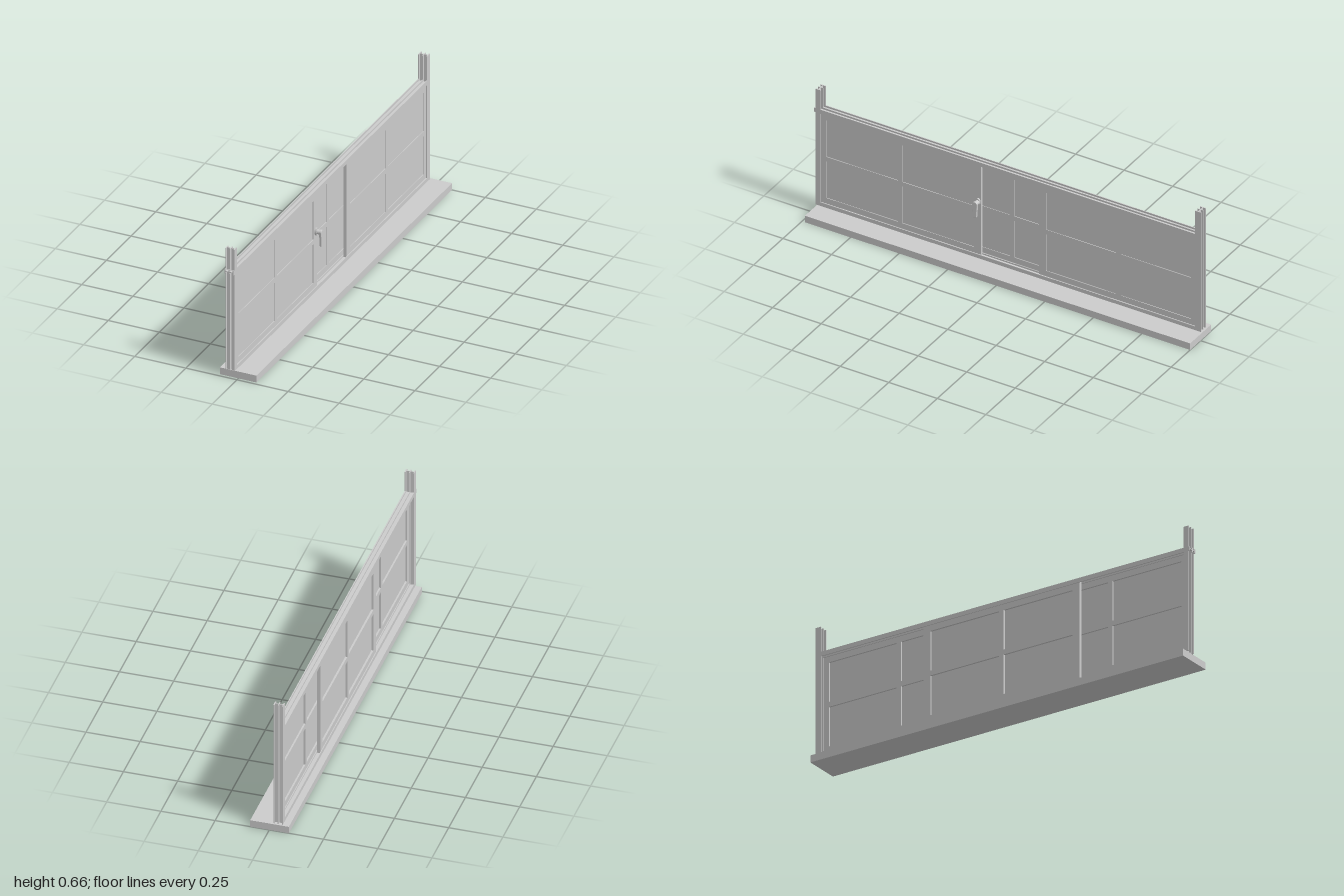
import * as THREE from 'three';

const mat = new THREE.MeshStandardMaterial({ color: 0xcccccc });
const FINS = [[-0.06, -0.056], [-0.04, -0.036], [-0.021, -0.016]];

function mesh(name, geometry) {
  const m = new THREE.Mesh(geometry, mat);
  m.name = name;
  return m;
}

// Box given by its lower and upper limits on each axis
function box(name, x0, x1, y0, y1, z0, z1) {
  const m = mesh(name, new THREE.BoxGeometry(x1 - x0, y1 - y0, z1 - z0));
  m.position.set((x0 + x1) / 2, (y0 + y1) / 2, (z0 + z1) / 2);
  return m;
}

// Upright track: three fins joined by a thin web
function post(name, top, z0, z1) {
  const g = new THREE.Group();
  g.name = name;
  const zm = (z0 + z1) / 2;
  for (const [a, b] of FINS) g.add(box('postFin', a, b, 0.034, top, z0, z1));
  g.add(box('postWeb', -0.06, -0.016, 0.034, top, zm - 0.002, zm + 0.002));
  return g;
}

// Horizontal track with the same section
function rail(name, y0, y1, z0, z1) {
  const g = new THREE.Group();
  g.name = name;
  const ym = (y0 + y1) / 2;
  for (const [a, b] of FINS) g.add(box('railFin', a, b, y0, y1, z0, z1));
  g.add(box('railWeb', -0.06, -0.016, ym - 0.002, ym + 0.002, z0, z1));
  return g;
}

function rectangle(target, x0, x1, y0, y1) {
  return target.moveTo(x0, y0).lineTo(x1, y0).lineTo(x1, y1).lineTo(x0, y1).closePath();
}

// Sliding sash: frame with a cross of glazing bars and one thin pane
function sash(name, z0, z1, x0, x1) {
  const g = new THREE.Group();
  g.name = name;
  const y0 = 0.046, y1 = 0.527, stile = 0.036, bar = 0.012;
  const zm = (z0 + z1) / 2, ym = (y0 + y1) / 2;
  const shape = rectangle(new THREE.Shape(), z0, z1, y0, y1);
  for (const [a, b] of [[z0 + stile, zm - bar], [zm + bar, z1 - stile]])
    for (const [c, d] of [[y0 + stile, ym - bar], [ym + bar, y1 - stile]])
      shape.holes.push(rectangle(new THREE.Path(), a, b, c, d));
  const frame = new THREE.ExtrudeGeometry(shape, { depth: x1 - x0, bevelEnabled: false });
  frame.rotateY(-Math.PI / 2).translate(x1, 0, 0);
  g.add(mesh('sashFrame', frame));
  g.add(box('pane', x1 - 0.007, x1 - 0.003, y0 + 0.02, y1 - 0.02, z0 + 0.02, z1 - 0.02));
  return g;
}

// Lever handle: oval rosette, round neck and a hanging grip
function handle() {
  const g = new THREE.Group();
  g.name = 'handle';
  const rosette = mesh('rosette', new THREE.CylinderGeometry(0.019, 0.019, 0.008, 32));
  rosette.geometry.rotateZ(Math.PI / 2).scale(1, 1, 0.6);
  rosette.position.set(-0.017, 0.329, 0.157);
  const neck = mesh('neck', new THREE.CylinderGeometry(0.011, 0.011, 0.022, 24));
  neck.geometry.rotateZ(Math.PI / 2);
  neck.position.set(-0.004, 0.33, 0.157);
  const s = new THREE.Shape();
  s.moveTo(-0.007, 0.266).quadraticCurveTo(0, 0.258, 0.007, 0.266);
  s.lineTo(0.011, 0.332).quadraticCurveTo(0.009, 0.341, 0, 0.341);
  s.quadraticCurveTo(-0.009, 0.341, -0.011, 0.332).closePath();
  const grip = new THREE.ExtrudeGeometry(s, {
    depth: 0.007, bevelThickness: 0.002, bevelSize: 0.0015, bevelSegments: 2,
  });
  grip.rotateY(-Math.PI / 2).translate(0.01, 0, 0.157);
  g.add(rosette, neck, mesh('grip', grip));
  return g;
}

export function createModel() {
  const model = new THREE.Group();
  model.name = 'slidingWindow';
  model.add(
    box('sill', -0.09, 0.088, 0, 0.034, -1, 0.985),
    post('frontPost', 0.642, 0.967, 0.993),
    post('backPost', 0.662, -0.992, -0.963),
    rail('topRail', 0.519, 0.54, -0.967, 1),
    rail('bottomRail', 0.034, 0.053, -0.967, 0.975),
    sash('frontSash', 0.145, 0.976, -0.036, -0.021),
    sash('backSash', -0.974, -0.155, -0.036, -0.021),
    sash('middleSash', -0.42, 0.41, -0.056, -0.04),
    handle(),
  );
  return model;
}
